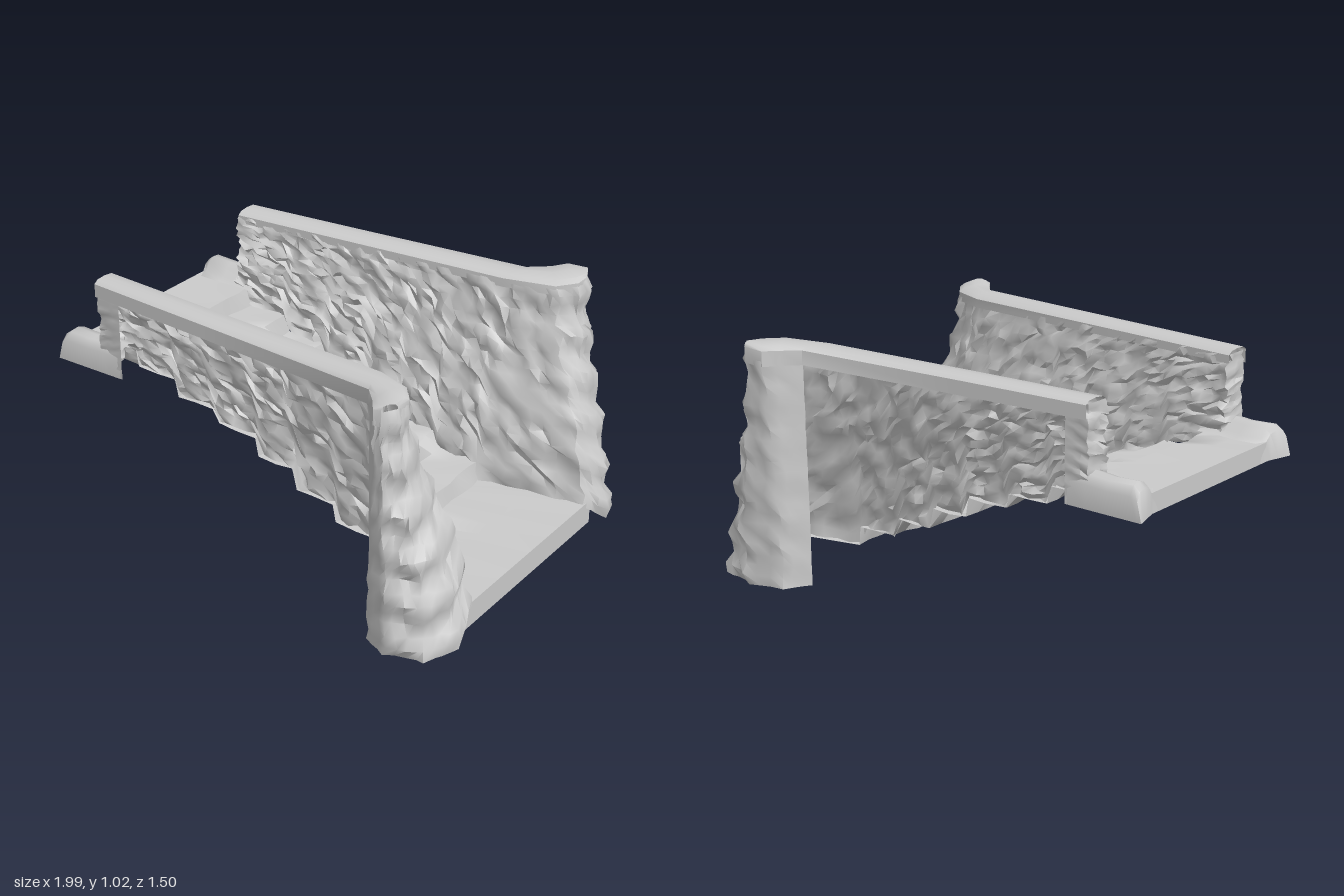
import * as THREE from 'three';
import { toCreasedNormals } from 'three/addons/utils/BufferGeometryUtils.js';

const material = new THREE.MeshStandardMaterial({ color: 0xcccccc, side: THREE.DoubleSide });
const lerp = THREE.MathUtils.lerp;

// Repeatable noise in -1..1
function makeNoise(seed) {
  return () => {
    seed = (seed * 16807) % 2147483647;
    return (seed / 2147483647) * 2 - 1;
  };
}

// Surface from a grid of points, point(i, j) -> [x, y, z]; flip turns it over
function sheet(name, columns, rows, flip, crease, point) {
  const positions = [];
  const index = [];
  for (let i = 0; i <= columns; i++) {
    for (let j = 0; j <= rows; j++) {
      positions.push(...point(i, j));
      if (i === columns || j === rows) continue;
      const a = i * (rows + 1) + j;
      const b = a + rows + 1;
      if (flip) index.push(a, a + 1, b, b, a + 1, b + 1);
      else index.push(a, b, a + 1, b, b + 1, a + 1);
    }
  }
  const geometry = new THREE.BufferGeometry();
  geometry.setAttribute('position', new THREE.Float32BufferAttribute(positions, 3));
  geometry.setIndex(index);
  const mesh = new THREE.Mesh(toCreasedNormals(geometry, crease), material);
  mesh.name = name;
  return mesh;
}

// Treads: back edge x and height
const treads = [
  [-0.97, 0.685], [-0.7, 0.61], [-0.5, 0.535], [-0.3, 0.475],
  [-0.1, 0.39], [0.08, 0.3], [0.28, 0.22], [0.48, 0.14],
];
const stairHeight = (x) => treads.filter((t) => t[0] <= x + 0.001).pop()[1];

// Stepped floor running down from the landing to the bottom plate
function stairs() {
  const profile = [[-0.97, 0.605]];
  treads.forEach(([x, y], k) => {
    const end = k < treads.length - 1 ? treads[k + 1][0] : 0.95;
    profile.push([x + (k ? 0.01 : 0), y], [(x + end) / 2, y - 0.003], [end - 0.01, y - 0.003]);
  });
  profile.push([0.94, 0.035]);
  const noise = makeNoise(77);
  return sheet('stairs', profile.length - 1, 10, true, 1.2, (i, j) => {
    const [x, y] = profile[i];
    const half = x > 0.5 ? lerp(0.37, 0.48, (x - 0.5) / 0.44) : x < -0.75 ? 0.4 : 0.37;
    const rough = i > 2 && i < profile.length - 2 ? 1 : 0;
    return [x + noise() * 0.008 * rough, y + noise() * 0.005 * rough, lerp(-half, half, j / 10)];
  });
}

// Rough stone shell: back post, inner wall and flared front pillar in one run.
// Key: bottom x, z; top x, z; bottom height; roughness; columns to the next key
function rockFace(side, bend, start) {
  const keys = [
    [-0.67, 0.5, -0.67, 0.5, 0.61, 0.001, 3],
    [start, 0.49, start, 0.49, 0.61, 0.006, 3],
    [start, 0.36, start, 0.39, 0.61, 0.013, 36],
    [bend - 0.04, 0.355, bend - 0.04, 0.48, 0.14, 0.014, 8],
    [0.93, 0.43, 0.7, 0.53, 0.13, 0.01, 3],
    [0.975, 0.56, 0.755, 0.6, 0.02, 0.009, 4],
    [0.91, 0.69, 0.76, 0.67, 0.015, 0.009, 4],
    [0.77, 0.74, 0.73, 0.725, 0.01, 0.008, 3],
    [bend + 0.06, 0.7, bend + 0.1, 0.73, 0.02, 0.004, 3],
    [bend, 0.6, bend, 0.61, 0.02, 0.001, 0],
  ];
  const columns = [];
  for (let k = 0; k < keys.length - 1; k++) {
    const count = keys[k][6];
    for (let c = 0; c < count; c++) {
      const column = keys[k].map((value, n) => lerp(value, keys[k + 1][n], c / count));
      if (k === 2) column[4] = Math.min(0.61, stairHeight(column[0]));
      // Layered ledges grow towards the pillar and fade round its back
      column[6] = k < 3 ? 0 : k === 3 ? (c / count) * 0.014 : k < 7 ? 0.014 : 0.006;
      columns.push(column);
    }
  }
  columns.push([...keys[keys.length - 1].slice(0, 6), 0]);
  const noise = makeNoise(side > 0 ? 1234 : 9871);
  const rows = 22;
  return sheet('rockFace', columns.length - 1, rows, side > 0, 1.0, (i, j) => {
    const [bx, bz, tx, tz, by, rough, depth] = columns[i];
    const v = j / rows;
    const w = v - 0.09 * Math.sin(v * Math.PI * 2);
    const loose = j === rows ? 0 : 1;
    const amount = rough * loose;
    const ledge = Math.sin(j * 1.57 + Math.sin(i * 0.8) * 0.7) * depth * loose;
    const outward = tz > 0.6 ? 0.8 : 0;
    const x = lerp(bx, tx, w) + noise() * amount + ledge;
    const y = lerp(by, 1.0, v) + noise() * amount * 0.7 * (j ? 1 : 0.4);
    const z = lerp(bz, tz, w) + noise() * amount * 1.2 + ledge * outward;
    return [x, y, z * side];
  });
}

// Smooth capping stone along the wall top, with a short drop on the outside
function coping(side, bend, start) {
  const inner = [[start, 0.385], [-0.2, 0.425], [bend - 0.04, 0.475], [0.7, 0.525], [0.76, 0.6], [0.76, 0.67]];
  const outer = [[start, 0.505], [-0.2, 0.55], [bend, 0.615], [bend + 0.06, 0.68], [bend + 0.1, 0.735], [0.73, 0.73]];
  // Across the stone: fraction from inner to outer edge, height
  const profile = [[0, 0.965], [0, 0.998], [0.15, 1.011], [0.5, 1.016], [0.85, 1.013], [1, 1.0], [1, 0.945]];
  return sheet('coping', inner.length - 1, profile.length - 1, side > 0, 0.9, (i, j) => {
    const [t, y] = profile[j];
    return [
      lerp(inner[i][0], outer[i][0], t),
      y + (y > 0.98 ? i * 0.002 : 0),
      lerp(inner[i][1], outer[i][1], t) * side,
    ];
  });
}

// Worn kerb curving up from the landing and over to the outside of the post
function landingKerb(side) {
  // Across the kerb: z, height
  const profile = [[0.34, 0.685], [0.38, 0.695], [0.405, 0.73], [0.44, 0.742], [0.475, 0.735], [0.498, 0.7], [0.5, 0.61]];
  // Along the kerb: x, fraction of full height, lean of the end
  const stations = [[-0.97, 0, 0.03], [-0.965, 0.85, 0.03], [-0.945, 1, 0.02], [-0.85, 0.96, 0], [-0.76, 1.02, 0], [-0.68, 1, 0]];
  return sheet('landingKerb', stations.length - 1, profile.length - 1, side > 0, 0.9, (i, j) => {
    const [x, scale, lean] = stations[i];
    const [z, y] = profile[j];
    const outer = Math.max(0, (z - 0.36) / 0.14);
    return [x - lean * outer * (1.3 - scale * 0.6), lerp(0.61, y, scale), z * side];
  });
}

export function createModel() {
  const model = new THREE.Group();
  model.name = 'stoneStaircase';
  model.add(stairs());
  for (const side of [1, -1]) {
    const wall = new THREE.Group();
    wall.name = side > 0 ? 'frontWall' : 'backWall';
    const bend = side > 0 ? 0.6 : 0.53;
    const start = side > 0 ? -0.785 : -0.765;
    wall.add(rockFace(side, bend, start), coping(side, bend, start), landingKerb(side));
    model.add(wall);
  }
  return model;
}
